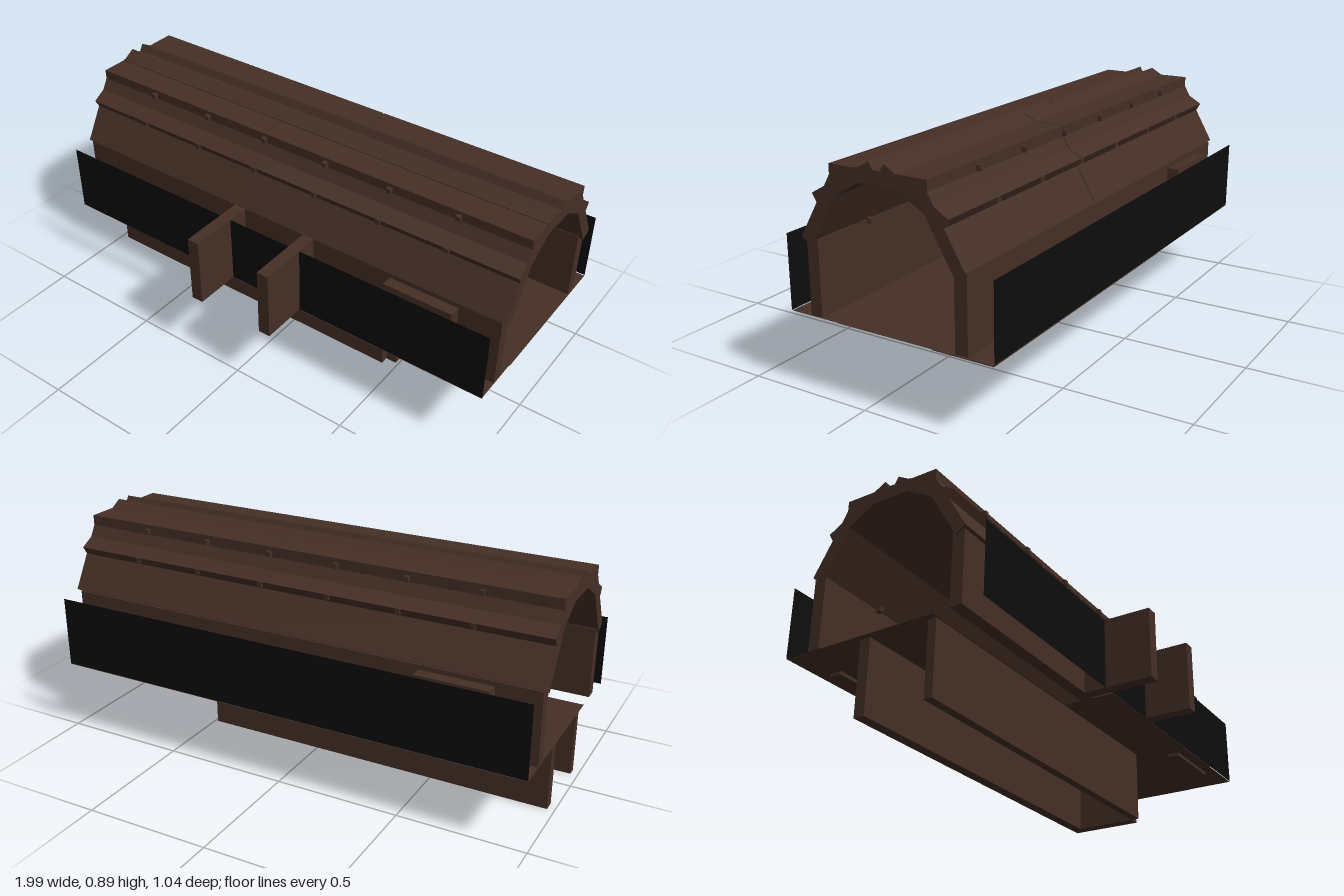
import * as THREE from 'three';

export function createModel() {
  const model = new THREE.Group();
  model.name = 'timberHull';

  const wood = new THREE.MeshStandardMaterial({ color: 0x452f26, side: THREE.DoubleSide });
  wood.name = 'darkWood';
  const black = new THREE.MeshStandardMaterial({ color: 0x0d0d0d, side: THREE.DoubleSide });
  black.name = 'blackPanel';

  const MID = -0.091; // z of the hull's centre line

  // Box given by its extents
  function box(name, x0, x1, y0, y1, z0, z1, parent = model) {
    const mesh = new THREE.Mesh(new THREE.BoxGeometry(x1 - x0, y1 - y0, z1 - z0), wood);
    mesh.position.set((x0 + x1) / 2, (y0 + y1) / 2, (z0 + z1) / 2);
    mesh.name = name;
    parent.add(mesh);
    return mesh;
  }

  // Thin upright panel facing z
  function panel(name, x0, x1, z) {
    const mesh = new THREE.Mesh(new THREE.PlaneGeometry(x1 - x0, 0.285), black);
    mesh.position.set((x0 + x1) / 2, 0.4375, z);
    mesh.name = name;
    model.add(mesh);
  }

  // Thin floor sheet
  function floor(name, x0, x1, z0, z1) {
    const mesh = new THREE.Mesh(new THREE.PlaneGeometry(x1 - x0, z1 - z0), wood);
    mesh.rotation.x = -Math.PI / 2;
    mesh.position.set((x0 + x1) / 2, 0.292, (z0 + z1) / 2);
    mesh.name = name;
    model.add(mesh);
  }

  // Floor, with the front corner at -x left open
  floor('floor', -0.99, 0.983, -0.52, 0.12);
  floor('frontFloor', -0.148, 0.98, 0.12, 0.325);

  // Side walls
  box('frontWall', -0.99, 0.98, 0.295, 0.58, 0.187, 0.235);
  box('backWall', -0.99, 0.98, 0.295, 0.58, -0.42, -0.371);

  // Boards standing against the outside of the walls
  box('frontBlock', 0.525, 0.81, 0.279, 0.562, 0.235, 0.28);
  box('backBlock', -0.82, -0.535, 0.279, 0.562, -0.467, -0.42);

  // Outer panels and the two dividers crossing the front one
  panel('frontPanel', -0.998, 0.983, 0.325);
  panel('backPanel', -0.99, 0.983, -0.521);
  box('divider', -0.2, -0.15, 0.295, 0.58, 0.235, 0.515);
  box('divider', 0.132, 0.182, 0.295, 0.58, 0.235, 0.515);

  // Keel: two long boards closed by one end board
  box('keelFront', -0.972, 0.443, 0, 0.286, 0.089, 0.122);
  box('keelBack', -0.972, 0.443, 0, 0.289, -0.198, -0.155);
  box('keelEnd', 0.443, 0.488, 0, 0.289, -0.198, 0.089);

  // Roof boards: [outer lower z, outer lower y, slope in degrees, thickness]
  const boards = [
    [0.243, 0.588, 60, 0.048],
    [0.185, 0.751, 30, 0.045],
    [0.106, 0.863, 0, 0.048],
  ];
  const LENGTH = 0.284;
  for (const side of [1, -1]) {
    const seam = side > 0 ? -0.147 : 0.142;
    boards.forEach(([z, y, degrees, thick], i) => {
      const a = THREE.MathUtils.degToRad(degrees);
      const cz = z - Math.cos(a) * LENGTH / 2 - Math.sin(a) * thick / 2;
      const cy = y + Math.sin(a) * LENGTH / 2 - Math.cos(a) * thick / 2;
      const lift = i === 2 && side < 0 ? 0.003 : 0;
      for (const [x0, x1] of [[-0.998, seam - 0.002], [seam + 0.002, 0.996]]) {
        const mesh = box('roofBoard', x0, x1, -thick / 2, thick / 2, -LENGTH / 2, LENGTH / 2);
        mesh.position.y = cy + lift;
        mesh.position.z = MID + side * (cz - MID);
        mesh.rotation.x = side * a;
      }
    });

    // Small pegs below the board edges
    for (const [z, y] of [[0.178, 0.742], [0.112, 0.84], [0.176, 0.577]]) {
      for (let k = 0; k < 6; k++) {
        const x = -0.71 + 0.285 * k;
        const zc = MID + side * (z - MID);
        box('peg', x - 0.009, x + 0.009, y - 0.01, y + 0.01, zc - 0.011, zc + 0.011);
      }
    }
  }

  return model;
}
